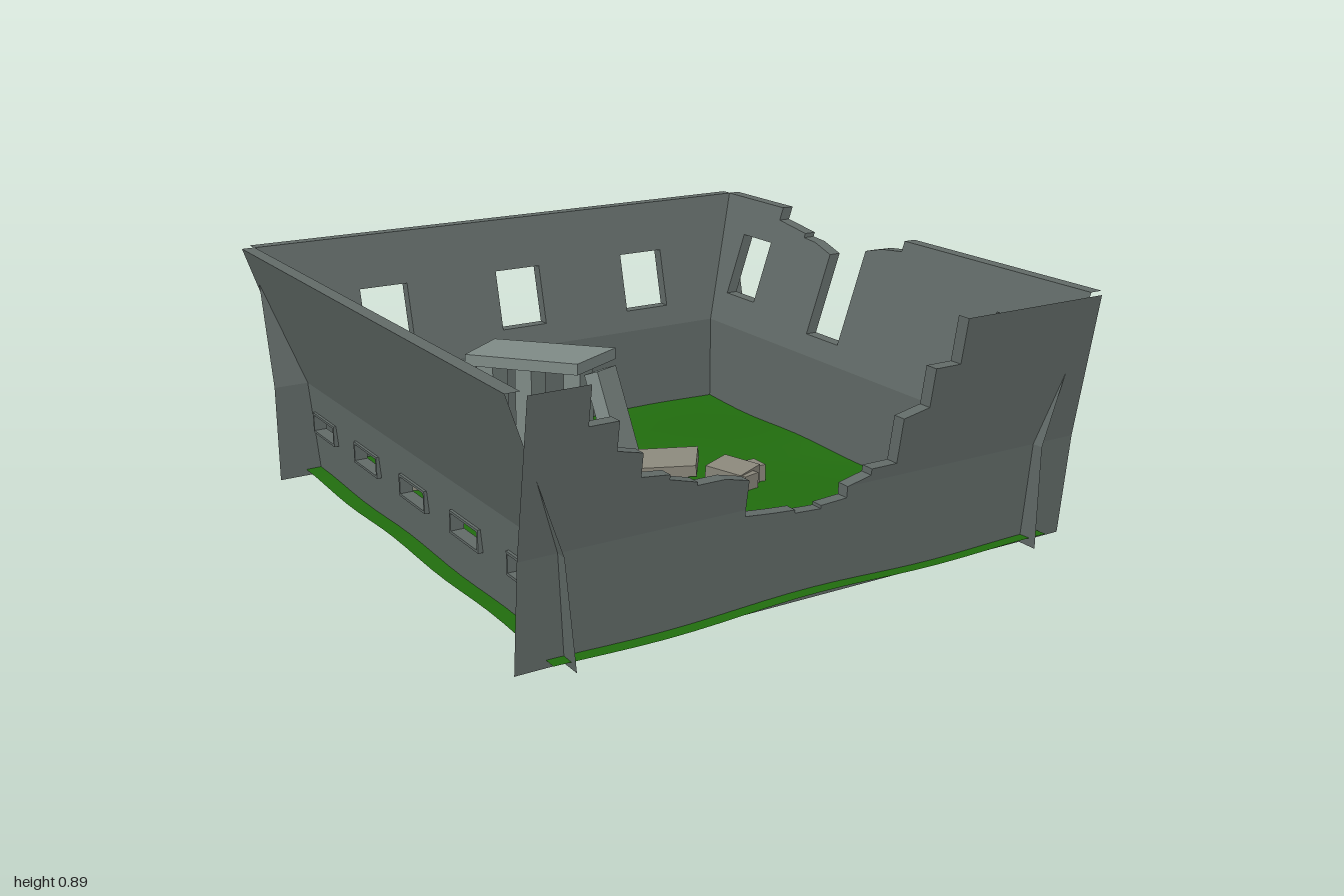
import * as THREE from 'three';

const BEND = 0.43, BASE = 0.1, TOP = 0.89, END = 0.96, T = 0.043, FOOT = 0.012;
const wallMat = new THREE.MeshStandardMaterial({ color: 0x616a67 });
const slabMat = new THREE.MeshStandardMaterial({ color: 0x7e8a86 });
const stoneMat = new THREE.MeshStandardMaterial({ color: 0x8a877b });
const grassMat = new THREE.MeshStandardMaterial({ color: 0x216c0e, side: THREE.DoubleSide });

const shapeOf = pts => new THREE.Shape(pts.map(p => new THREE.Vector2(p[0], p[1])));
const rect = (x, y, w, h) => [[x - w / 2, y], [x + w / 2, y], [x + w / 2, y + h], [x - w / 2, y + h]];

function extrude(outline, holes, depth) {
  const shape = shapeOf(outline);
  shape.holes = holes.map(shapeOf);
  return new THREE.ExtrudeGeometry(shape, { depth, bevelEnabled: false });
}

// One stretch of wall: leans outward above the bend, thins to its foot below it, ends stay open
function panel(outline, holes, inner, lean, openTop) {
  const p = extrude(outline, holes, T).attributes.position, out = [];
  for (let i = 0; i < p.count; i += 3) {
    const v = [0, 1, 2].map(k => new THREE.Vector3().fromBufferAttribute(p, i + k));
    const isEnd = [-END, END].some(e => v.every(q => Math.abs(q.x - e) < 0.001));
    const isJoint = v.every(q => Math.abs(q.y - BEND) < 0.001);
    const isTop = openTop && v.every(q => q.y > TOP - 0.001);
    if (isEnd || isJoint || isTop) continue;
    for (const q of v) {
      const up = Math.max(0, (q.y - BEND) / (TOP - BEND));
      const down = Math.max(0, (BEND - q.y) / (BEND - BASE));
      const thin = q.z > T / 2 ? (T - FOOT) * down : 0;
      out.push(q.x, q.y, q.z + inner + lean * up - thin);
    }
  }
  const g = new THREE.BufferGeometry();
  g.setAttribute('position', new THREE.Float32BufferAttribute(out, 3));
  g.computeVertexNormals();
  return g;
}

function wall(name, angle, inner, lean, pieces, openTop = false) {
  const group = new THREE.Group();
  group.name = name;
  group.rotation.y = angle;
  for (const [outline, holes = []] of pieces)
    add(group, name + 'Panel', panel(outline, holes, inner, lean, openTop), wallMat, [0, 0, 0]);
  return group;
}

function add(parent, name, geo, mat, pos, rot = [0, 0, 0]) {
  const m = new THREE.Mesh(geo, mat);
  m.name = name;
  m.position.set(...pos);
  m.rotation.set(rot[0], rot[1], rot[2], 'YXZ');
  parent.add(m);
}

// Flat slab from [x, z] corners between two heights
function slab(parent, name, pts, y0, y1) {
  const g = extrude(pts.map(([x, z]) => [x, -z]), [], y1 - y0).rotateX(-Math.PI / 2);
  add(parent, name, g, slabMat, [0, y0, 0]);
}

export function createModel() {
  const model = new THREE.Group();
  model.name = 'ruinedBuilding';
  const lower = [[-END, BASE], [END, BASE], [END, BEND], [-END, BEND]];
  const upper = [[-END, BEND], [END, BEND], [END, TOP], [-END, TOP]];

  // Front wall, broken down in steps to below the bend
  model.add(wall('frontWall', 0, 0.88, 0.077, [
    [[[-END, BASE], [END, BASE], [END, BEND], [0.09, BEND], [0.09, 0.395], [0, 0.39], [0, 0.38],
      [-0.09, 0.385], [-0.09, 0.395], [-0.16, 0.4], [-0.26, 0.41], [-0.26, BEND], [-END, BEND]]],
    [[[-END, BEND], [-0.26, BEND], [-0.26, 0.52], [-0.34, 0.54], [-0.43, 0.54], [-0.43, 0.55], [-0.52, 0.575],
      [-0.52, 0.59], [-0.61, 0.6], [-0.61, 0.67], [-0.69, 0.69], [-0.69, 0.775], [-0.78, 0.775], [-0.78, TOP], [-END, TOP]]],
    [[[0.09, BEND], [END, BEND], [END, TOP], [0.44, TOP], [0.44, 0.75], [0.35, 0.75], [0.35, 0.63],
      [0.26, 0.61], [0.26, 0.47], [0.17, 0.47], [0.17, 0.45]]],
  ], true));

  // Back wall with three windows and a framed doorway
  const back = wall('backWall', Math.PI, 0.845, 0.112, [
    [[[-END, BASE], [0.26, BASE], [0.26, 0.385], [0.44, 0.385], [0.44, BASE], [END, BASE], [END, BEND], [-END, BEND]]],
    [upper, [-0.522, 0, 0.522].map(x => rect(x, 0.505, 0.176, 0.207))],
  ]);
  add(back, 'doorFrame', extrude([[0.25, BASE], [0.26, BASE], [0.26, 0.385], [0.44, 0.385], [0.44, BASE],
    [0.45, BASE], [0.45, 0.4], [0.25, 0.4]], [], T), wallMat, [0, 0, 0.845]);
  model.add(back);

  // Right wall with two windows and a third one broken open
  model.add(wall('rightWall', Math.PI / 2, 0.8, 0.157, [
    [lower],
    [[[-END, BEND], [END, BEND], [END, TOP], [0.6, TOP], [0.6, 0.845], [0.43, 0.825], [0.43, 0.81], [0.36, 0.805],
      [0.26, 0.78], [0.26, 0.5], [0.08, 0.5], [0.08, 0.825], [0, 0.845], [-0.1, 0.855], [-0.1, TOP], [-END, TOP]],
      [-0.7, 0.7].map(x => rect(x, 0.54, 0.176, 0.22))],
  ]));

  // Left wall with a row of low framed slots
  const slots = [-0.72, -0.36, 0, 0.36, 0.72];
  const left = wall('leftWall', -Math.PI / 2, 0.8, 0.157, [
    [lower, slots.map(x => rect(x, 0.27, 0.17, 0.055))],
    [upper],
  ]);
  for (const x of slots)
    add(left, 'slotFrame', extrude(rect(x, 0.262, 0.186, 0.071), [rect(x, 0.27, 0.17, 0.055)], T), wallMat, [0, 0, 0.8]);
  model.add(left);

  // Uneven grass floor
  const ground = new THREE.PlaneGeometry(1.735, 1.87, 20, 20).rotateX(-Math.PI / 2);
  const gp = ground.attributes.position;
  for (let i = 0; i < gp.count; i++) {
    const x = gp.getX(i), z = gp.getZ(i);
    gp.setY(i, 0.123 + 0.006 * Math.sin(7 * x + 2 * z) + 0.005 * Math.sin(9 * z - 3 * x));
  }
  ground.computeVertexNormals();
  add(model, 'grassFloor', ground, grassMat, [0, 0, 0]);

  // Two small slabs on round pillars
  slab(model, 'frontSlab', [[-0.56, 0.445], [-0.56, 0.705], [-0.305, 0.705], [-0.305, 0.435]], 0.37, 0.4);
  slab(model, 'brokenSlab', [[-0.56, 0.08], [-0.56, 0.39], [-0.305, 0.17], [-0.305, 0.07]], 0.33, 0.36);
  const pillar = (x, z, y0, y1) => add(model, 'pillar',
    new THREE.CylinderGeometry(0.026, 0.026, y1 - y0, 16), stoneMat, [x, (y0 + y1) / 2, z]);
  for (const x of [-0.505, -0.345]) for (const z of [0.485, 0.655]) pillar(x, z, 0.075, 0.375);
  for (const [x, z] of [[-0.505, 0.295], [-0.505, 0.135], [-0.345, 0.135]]) pillar(x, z, 0, 0.335);

  // Toppled pillar pieces
  for (const [x, z, yaw] of [[-0.19, 0.12, 0.88], [-0.285, 0.225, 0.6]])
    add(model, 'fallenPillar', new THREE.CylinderGeometry(0.026, 0.026, 0.13, 16), stoneMat,
      [x, 0.135, z], [Math.PI / 2, Math.PI - yaw, 0]);

  // Large slab on three posts, with its broken end leaning against it
  slab(model, 'largeSlab', [[-0.16, -0.79], [-0.34, -0.66], [-0.07, -0.35], [0.145, -0.46]], 0.46, 0.5);
  for (const [x, z] of [[0, -0.47], [-0.125, -0.59], [-0.22, -0.695]])
    add(model, 'post', new THREE.BoxGeometry(0.14, 0.36, 0.06), slabMat, [x, 0.282, z], [0, 0.727, 0]);
  add(model, 'leaningSlab', new THREE.BoxGeometry(0.18, 0.39, 0.05), slabMat, [0.085, 0.256, -0.365], [-0.33, 0.727, -0.15]);

  // Rubble
  const block = (x, y, z, w, h, d, rot) =>
    add(model, 'rubble', new THREE.BoxGeometry(w, h, d), stoneMat, [x, y, z], rot);
  block(0.185, 0.15, -0.185, 0.21, 0.04, 0.165, [0.08, -0.62, 0.08]);
  block(0.302, 0.15, 0.042, 0.12, 0.08, 0.14, [0.05, 0.4, 0.05]);
  block(0.38, 0.142, 0.04, 0.07, 0.075, 0.07, [0, 0, 0]);
  block(0.31, 0.142, 0.105, 0.065, 0.075, 0.06, [0, 0.25, 0]);
  [[-0.68, 0.25], [-0.62, -0.4], [-0.56, 0.2]].forEach(([x, yaw]) =>
    block(x, 0.14, -0.47, 0.047, 0.05, 0.047, [0, yaw, 0]));

  return model;
}
